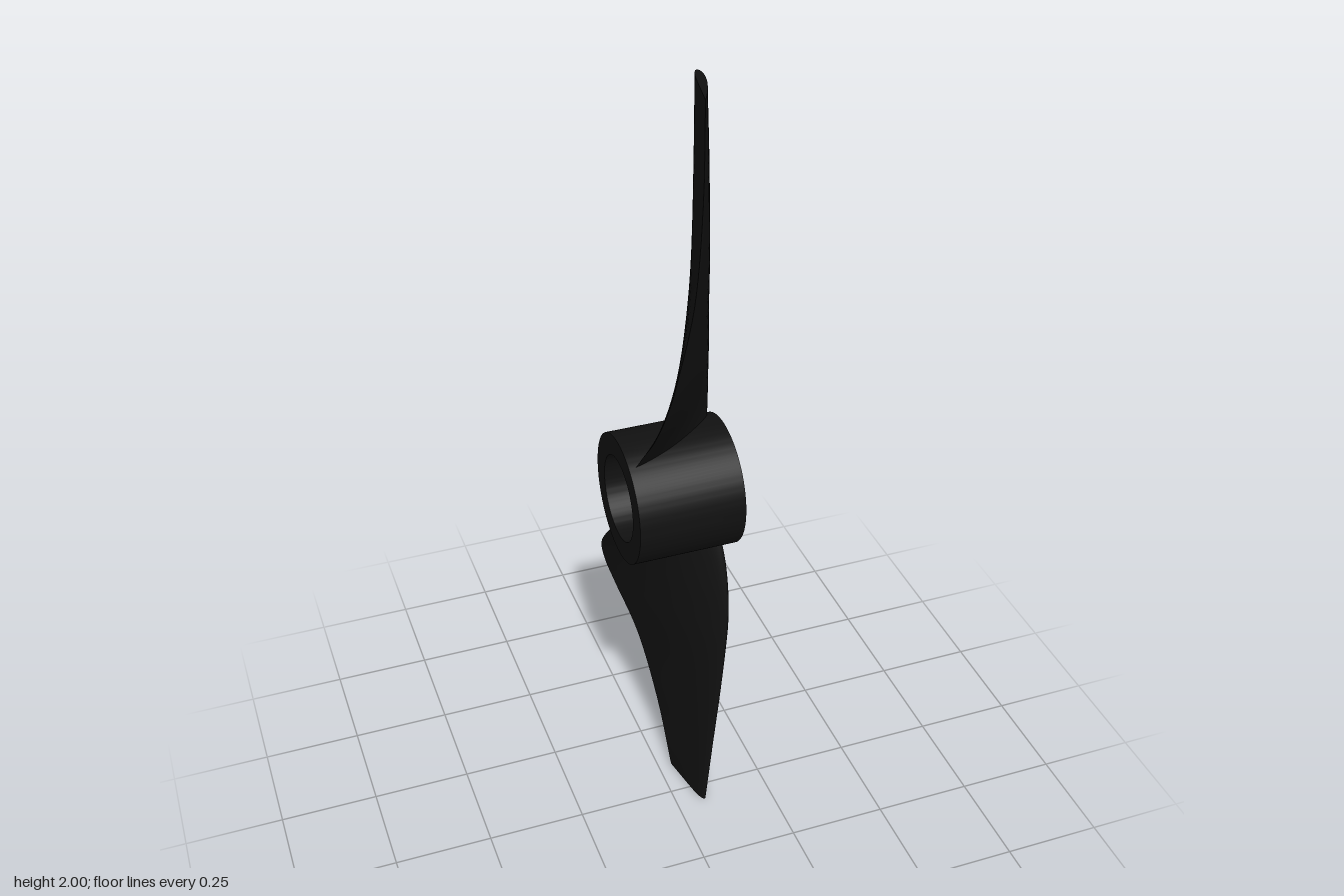
import * as THREE from 'three';
import { toCreasedNormals } from 'three/addons/utils/BufferGeometryUtils.js';

const material = new THREE.MeshStandardMaterial({ color: 0x111111 });

// Blade edges as [x, height above the axis, z], root to tip, at matching heights
const trailing = [
  [-0.112, 0.12, 0.065], [-0.118, 0.2, 0.14], [-0.113, 0.28, 0.205], [-0.095, 0.36, 0.234], [-0.07, 0.44, 0.232],
  [-0.02, 0.6, 0.2], [0.015, 0.8, 0.15], [0.036, 1, 0.1],
];
const leading = [
  [0.105, 0.12, -0.052], [0.112, 0.2, -0.075], [0.113, 0.28, -0.092], [0.111, 0.36, -0.1], [0.106, 0.44, -0.101],
  [0.097, 0.6, -0.091], [0.086, 0.8, -0.073], [0.076, 1, -0.055],
];
const edgeCurve = (points) =>
  new THREE.CatmullRomCurve3(points.map((p) => new THREE.Vector3(...p)), false, 'catmullrom', 0.5);

// Half thickness of an airfoil at chord fraction s, nose at 0
const halfThickness = (s) =>
  5 * (0.2969 * Math.sqrt(s) - 0.126 * s - 0.3516 * s ** 2 + 0.2843 * s ** 3 - 0.1036 * s ** 4);

// Twisted blade: airfoil sections lofted between the two edge curves
function bladeGeometry(rows = 48, around = 40) {
  const nose = edgeCurve(leading), tail = edgeCurve(trailing);
  const positions = [], index = [];
  const stride = around + 1;
  for (let i = 0; i <= rows; i++) {
    const a = nose.getPoint(i / rows), chord = tail.getPoint(i / rows).sub(a);
    // Points toward +x, square to the chord
    const normal = new THREE.Vector3(chord.z, 0, -chord.x);
    for (let j = 0; j <= around; j++) {
      const angle = (2 * Math.PI * j) / around;
      const s = (1 + Math.cos(angle)) / 2;
      const side = j <= around / 2 ? 1 : -1;
      const offset = side * 0.13 * halfThickness(s) + 0.1 * s * (1 - s);
      const p = a.clone().addScaledVector(chord, s).addScaledVector(normal, offset);
      positions.push(p.x, p.y, p.z);
    }
  }
  for (let i = 0; i < rows; i++) {
    for (let j = 0; j < around; j++) {
      const a = i * stride + j, c = a + stride;
      index.push(a, a + 1, c, a + 1, c + 1, c);
    }
  }
  // Flat tip, on its own vertices for a sharp edge
  const tip = positions.length / 3;
  positions.push(...positions.slice(rows * stride * 3));
  for (let j = 1; j < around - 1; j++) index.push(tip, tip + j, tip + j + 1);

  const geometry = new THREE.BufferGeometry();
  geometry.setAttribute('position', new THREE.Float32BufferAttribute(positions, 3));
  geometry.setIndex(index);
  geometry.computeVertexNormals();
  return geometry;
}

// Ring-shaped hub, bored along x
function hubGeometry() {
  const ring = new THREE.Shape().absarc(0, 0, 0.158, 0, Math.PI * 2, false);
  ring.holes.push(new THREE.Path().absarc(0, 0, 0.105, 0, Math.PI * 2, true));
  const geometry = new THREE.ExtrudeGeometry(ring, { depth: 0.258, bevelEnabled: false, curveSegments: 64 });
  geometry.translate(0, 0, -0.131).rotateY(Math.PI / 2);
  return toCreasedNormals(geometry, 0.6);
}

export function createModel() {
  const model = new THREE.Group();
  model.name = 'propeller';

  const hub = new THREE.Mesh(hubGeometry(), material);
  hub.name = 'hub';
  hub.position.y = 1;
  model.add(hub);

  // Two blades, half a turn apart about the hub axis
  const blade = bladeGeometry();
  ['upperBlade', 'lowerBlade'].forEach((name, k) => {
    const mesh = new THREE.Mesh(blade, material);
    mesh.name = name;
    mesh.position.y = 1;
    mesh.rotation.x = k * Math.PI;
    model.add(mesh);
  });
  return model;
}
